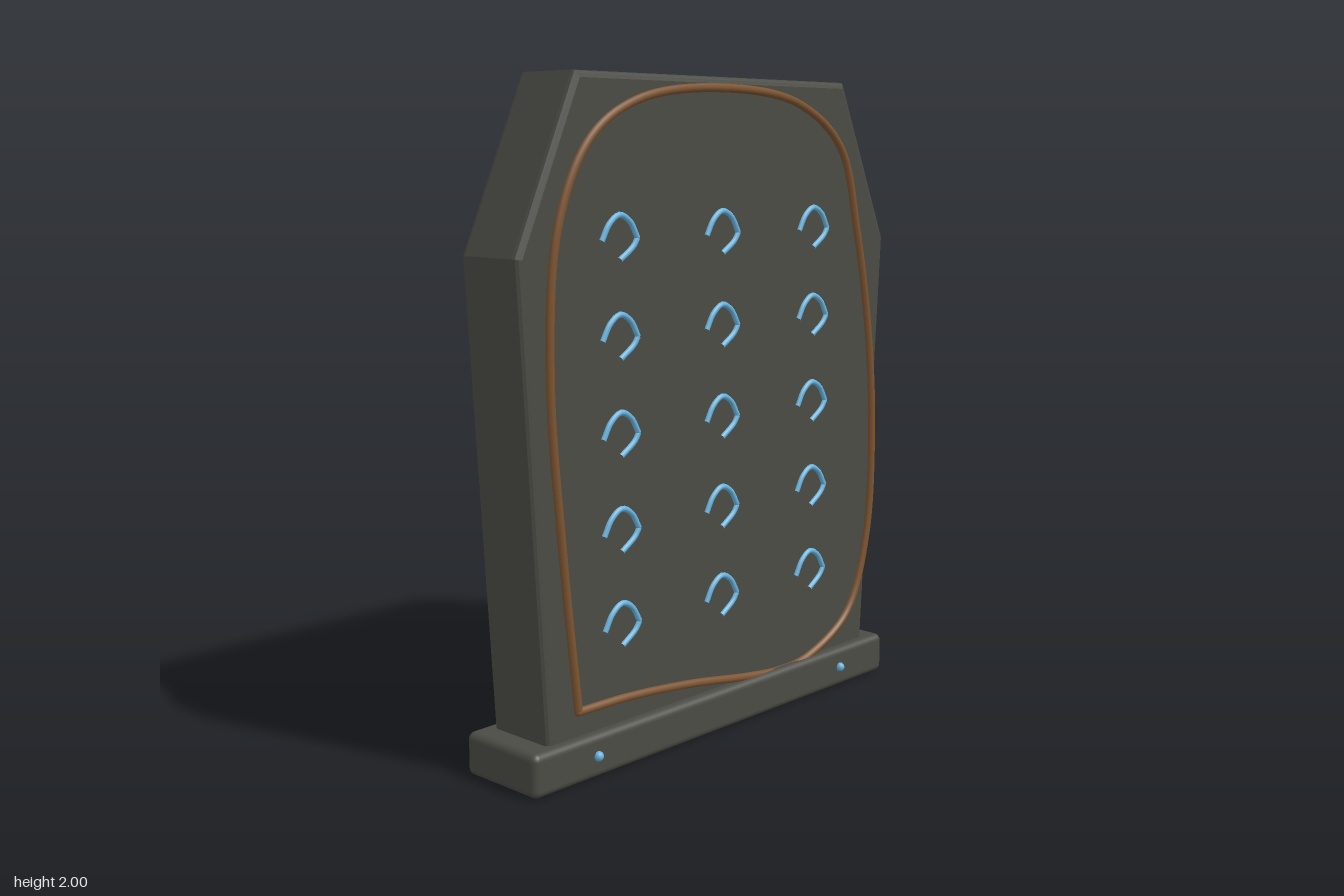
import * as THREE from 'three';
import { RoundedBoxGeometry } from 'three/addons/geometries/RoundedBoxGeometry.js';

const mat = (name, color) => {
  const m = new THREE.MeshStandardMaterial({ color });
  m.name = name;
  return m;
};

export function createModel() {
  const stone = mat('dark stone', 0x4b4b45);
  const copper = mat('copper', 0x7d5431);
  const blue = mat('glowing blue', 0x66b2dd);
  const model = new THREE.Group();
  model.name = 'tablet';

  const add = (name, geometry, material, x = 0, y = 0, z = 0, parent = model) => {
    const mesh = new THREE.Mesh(geometry, material);
    mesh.name = name;
    mesh.position.set(x, y, z);
    parent.add(mesh);
    return mesh;
  };
  const tube = (curve, segments, radius, closed = false) =>
    new THREE.TubeGeometry(curve, segments, radius, 8, closed);
  const spline = (points) => new THREE.CatmullRomCurve3(
    points.map(([x, y]) => new THREE.Vector3(x, y, 0)), false, 'centripetal');

  // Base plinth
  add('base', new RoundedBoxGeometry(1.6, 0.13, 0.3, 3, 0.022), stone, 0, 0.065, -0.01);

  // Slab with clipped upper corners and softened edges
  const bevel = 0.02;
  const outline = new THREE.Shape([
    [-0.70, 0.07], [0.70, 0.07], [0.788, 1.496], [0.573, 1.98], [-0.573, 1.98], [-0.788, 1.496],
  ].map(([x, y]) => new THREE.Vector2(x, y)));
  add('slab', new THREE.ExtrudeGeometry(outline, {
    depth: 0.195, bevelEnabled: true, bevelSize: bevel, bevelThickness: bevel, bevelSegments: 3,
  }), stone, 0, 0, -0.107);

  // Copper border, one loop with a sharp corner at lower right, on both faces
  const border = spline([
    [-0.61, 0.205], [-0.66, 0.65], [-0.70, 1.18], [-0.665, 1.58], [-0.545, 1.815], [-0.36, 1.925],
    [0, 1.967], [0.36, 1.925], [0.565, 1.79], [0.655, 1.52], [0.725, 1.18], [0.752, 0.86],
    [0.73, 0.49], [0.63, 0.24], [0.42, 0.13], [0.28, 0.118], [0.13, 0.132], [-0.15, 0.175],
    [-0.41, 0.2], [-0.61, 0.205],
  ]);
  const borderGeometry = tube(border, 200, 0.013);
  add('frontBorder', borderGeometry, copper, 0, 0, 0.113);
  add('backBorder', borderGeometry, copper, 0, 0, -0.13);
  for (const z of [0.113, -0.13]) {
    add('borderCorner', new THREE.SphereGeometry(0.013, 10, 8), copper, -0.61, 0.205, z);
  }

  // Grid of hook-shaped marks on the front
  const hook = new THREE.CurvePath();
  hook.add(spline([[-0.07, -0.005], [-0.04, 0.043], [0, 0.067], [0.04, 0.048], [0.07, 0]]));
  hook.add(spline([[0.07, 0], [0.052, -0.024], [0, -0.06]]));
  const marks = new THREE.Group();
  marks.name = 'marks';
  model.add(marks);
  const strokes = hook.curves.map((c) => tube(c, 16, 0.009));
  for (let row = 0; row < 5; row++) {
    for (let col = -1; col <= 1; col++) {
      for (const stroke of strokes) {
        add('mark', stroke, blue, col * 0.43, 0.42 + row * 0.28, 0.11, marks);
      }
    }
  }

  // Studs on the base
  for (const side of [-1, 1]) {
    add('stud', new THREE.SphereGeometry(0.015, 12, 8), blue, side * 0.56, 0.067, 0.143);
  }

  return model;
}
